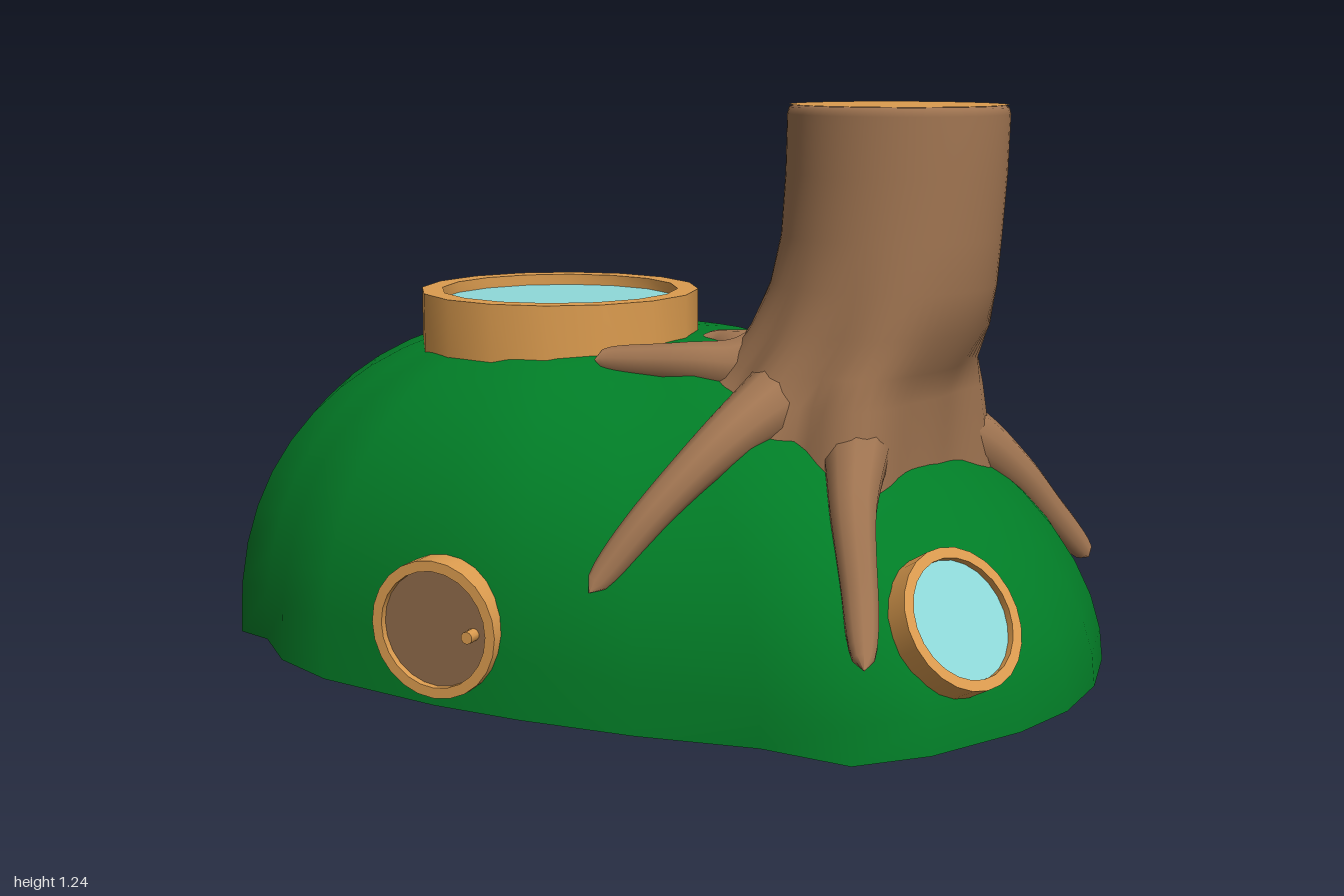
import * as THREE from 'three';
import { toCreasedNormals } from 'three/addons/utils/BufferGeometryUtils.js';

const paint = (color, side = THREE.FrontSide) => new THREE.MeshStandardMaterial({ color, side });
const grass = paint(0x027d27, THREE.DoubleSide);
const bark = paint(0x9e7350, THREE.DoubleSide);
const wood = paint(0xdc9c4f);
const glass = paint(0x8fdada);
const doorWood = paint(0x8f6b4a);

// Ground outline of the hill as [x, z]
const outline = [
  [1, 0], [0.985, 0.18], [0.93, 0.34], [0.81, 0.54], [0.69, 0.655], [0.5, 0.64], [0.25, 0.68], [0, 0.695],
  [-0.2, 0.69], [-0.5, 0.645], [-0.66, 0.575], [-0.78, 0.465], [-0.87, 0.44], [-0.965, 0.23], [-1, 0],
  [-0.975, -0.19], [-0.92, -0.33], [-0.81, -0.49], [-0.7, -0.57], [-0.5, -0.66], [-0.25, -0.71], [0, -0.73],
  [0.25, -0.71], [0.5, -0.67], [0.7, -0.59], [0.8, -0.51], [0.9, -0.37], [0.975, -0.19],
];
const apex = [-0.2, -0.03];
const BASE = 0.03, HEIGHT = 0.73, TOP = 0.72;

// Hill profile: s runs from 0 at the apex to 1 at the edge; fuller to the -x side and the front, flat on top
function rise(s, dx, dz) {
  const len = Math.hypot(dx, dz), side = dx / len;
  const power = 2 + (side < 0 ? -0.35 : -0.12) * side + 0.5 * Math.max(0, dz / len) ** 6;
  return Math.min(TOP, BASE + HEIGHT * Math.pow(Math.max(0, 1 - Math.pow(s, power)), 1 / power));
}

// Height of the hill surface above a point on the ground
function hillY(x, z) {
  const dx = x - apex[0], dz = z - apex[1];
  for (let i = 0; i < outline.length; i++) {
    const a = outline[i], b = outline[(i + 1) % outline.length];
    const ax = a[0] - apex[0], az = a[1] - apex[1];
    const ex = b[0] - a[0], ez = b[1] - a[1];
    const det = dx * ez - dz * ex;
    if (Math.abs(det) < 1e-9) continue;
    const k = (ax * ez - az * ex) / det;      // distance to the edge along the ray
    const u = (ax * dz - az * dx) / det;      // position along the edge
    if (k > 0 && u >= 0 && u <= 1) return rise(Math.min(0.97, 1 / k), dx, dz);
  }
  return TOP;
}

// Skin over closed rings listed from bottom to top
function loft(rings) {
  const n = rings[0].length, index = [];
  for (let j = 0; j < rings.length - 1; j++) {
    for (let i = 0; i < n; i++) {
      const a = j * n + i, b = j * n + (i + 1) % n;
      index.push(a, a + n, b, b, a + n, b + n);
    }
  }
  const geo = new THREE.BufferGeometry();
  geo.setAttribute('position', new THREE.Float32BufferAttribute(rings.flat(2), 3));
  geo.setIndex(index);
  geo.computeVertexNormals();
  return geo;
}

function add(parent, name, geo, material) {
  const mesh = new THREE.Mesh(geo, material);
  mesh.name = name;
  parent.add(mesh);
  return mesh;
}

// Wooden drum sunk in the hill with a recessed pane at its outer end
function portal(parent, name, { at, dir, r, inner, depth, recess, sides, pane, paneName }) {
  const group = new THREE.Group();
  group.name = name;
  const profile = [[0, -depth], [r, -depth], [r, 0], [inner, 0], [inner, -recess]]
    .map(([x, y]) => new THREE.Vector2(x, y));
  add(group, name + 'Frame', toCreasedNormals(new THREE.LatheGeometry(profile, sides), 0.6), wood);
  const disc = new THREE.CircleGeometry(inner * 1.01, sides).rotateX(-Math.PI / 2).rotateY(Math.PI / 2);
  add(group, paneName, disc, pane).position.y = -recess;
  group.position.set(...at);
  group.quaternion.setFromUnitVectors(new THREE.Vector3(0, 1, 0), new THREE.Vector3(...dir).normalize());
  parent.add(group);
}

// Roots as [x, z] points over the hill, from the trunk outwards
const roots = [
  [[0.38, 0.29], [0.33, 0.43], [0.24, 0.56], [0.14, 0.655]],
  [[0.56, 0.29], [0.61, 0.44], [0.67, 0.56], [0.71, 0.65]],
  [[0.67, -0.12], [0.76, -0.21], [0.83, -0.29], [0.9, -0.365]],
  [[0.48, -0.2], [0.475, -0.33], [0.495, -0.45], [0.5, -0.57]],
  [[0.31, -0.14], [0.24, -0.25], [0.16, -0.37], [0.07, -0.49]],
  [[0.24, 0.0], [0.18, 0], [0.13, -0.02], [0.08, -0.02]],
  [[0.27, 0.19], [0.17, 0.24], [0.08, 0.265], [-0.03, 0.29]],
];
const FOOT = [0.46, 0.05];
const rootAngles = roots.map(([[x, z]]) => Math.atan2(z - FOOT[1], x - FOOT[0]));

// Tapering tube that starts inside the trunk and follows the hill
function rootGeometry(points) {
  const [fx, fz] = points[0];
  const start = new THREE.Vector3(FOOT[0] + (fx - FOOT[0]) * 0.35, hillY(fx, fz) + 0.07, FOOT[1] + (fz - FOOT[1]) * 0.35);
  const path = new THREE.CatmullRomCurve3([start,
    ...points.map(([x, z]) => new THREE.Vector3(x, Math.min(hillY(x, z) + 0.022, 0.7), z))]);
  const SEG = 28, SIDES = 10;
  const geo = new THREE.TubeGeometry(path, SEG, 1, SIDES);
  const pos = geo.attributes.position, v = new THREE.Vector3();
  for (let i = 0; i <= SEG; i++) {
    const t = i / SEG, centre = path.getPointAt(t);
    const radius = (0.033 + 0.014 * (1 - t) + 0.07 * (1 - t) ** 3) * Math.sqrt(1 - t ** 16);
    for (let k = 0; k <= SIDES; k++) {
      const id = i * (SIDES + 1) + k;
      v.fromBufferAttribute(pos, id).sub(centre).multiplyScalar(radius).add(centre);
      pos.setXYZ(id, v.x, v.y, v.z);
    }
  }
  return geo;
}

export function createModel() {
  const model = new THREE.Group();
  model.name = 'hillHouse';

  // Hollow grassy hill, open underneath
  const LEVELS = 14;
  const hillRings = Array.from({ length: LEVELS + 1 }, (_, j) => {
    const s = Math.cos((j / LEVELS) * Math.PI / 2);
    return outline.map(([x, z]) => {
      const dx = x - apex[0], dz = z - apex[1];
      return [apex[0] + dx * s, rise(s, dx, dz), apex[1] + dz * s];
    });
  });
  add(model, 'hill', loft(hillRings), grass);

  // Tree stump: [y, centre x, centre z, radius x, radius z, swelling towards the roots]
  // The bottom ring (y = 0) sits just inside the hill
  const tree = new THREE.Group();
  tree.name = 'tree';
  model.add(tree);
  const sections = [
    [0, 0.445, 0.05, 0.235, 0.235, 0.5], [0.64, 0.455, 0.055, 0.228, 0.232, 0.36], [0.7, 0.47, 0.055, 0.23, 0.232, 0.22],
    [0.78, 0.51, 0.055, 0.24, 0.24, 0.08], [0.87, 0.535, 0.052, 0.235, 0.24, 0.02], [0.97, 0.547, 0.045, 0.23, 0.238, 0],
    [1.1, 0.552, 0.035, 0.231, 0.234, 0], [1.222, 0.553, 0.03, 0.232, 0.232, 0],
    [1.236, 0.553, 0.03, 0.228, 0.228, 0], [1.24, 0.553, 0.03, 0.22, 0.22, 0],
  ];
  const trunkRings = sections.map(([y, cx, cz, rx, rz, swell]) => Array.from({ length: 64 }, (_, i) => {
    const a = (i / 64) * Math.PI * 2;
    const lobe = Math.max(...rootAngles.map((angle) => Math.max(0, Math.cos(a - angle)) ** 14));
    const k = 1 + swell * lobe;
    const x = cx + Math.cos(a) * rx * k, z = cz + Math.sin(a) * rz * k;
    return [x, y || Math.min(0.635, hillY(x, z) - 0.012), z];
  }));
  add(tree, 'trunk', loft(trunkRings), bark);
  const top = add(tree, 'cutTop', new THREE.CircleGeometry(0.228, 32).rotateX(-Math.PI / 2), wood);
  top.position.set(0.553, 1.241, 0.03);
  roots.forEach((points) => add(tree, 'root', rootGeometry(points), bark));

  // Skylight, two round windows and the round door
  portal(model, 'skylight', { at: [-0.245, 0.815, 0.04], dir: [0, 1, 0], r: 0.317, inner: 0.27,
    depth: 0.29, recess: 0.025, sides: 16, pane: glass, paneName: 'skylightPane' });
  const small = { r: 0.144, inner: 0.122, depth: 0.31, recess: 0.015, sides: 24 };
  portal(model, 'frontWindow', { ...small, at: [0.835, 0.275, 0.43], dir: [0.75, 0.49, 0.41], depth: 0.3,
    pane: glass, paneName: 'frontWindowPane' });
  portal(model, 'backWindow', { ...small, at: [-0.44, 0.372, -0.645], dir: [-0.22, 0.45, -0.87],
    pane: glass, paneName: 'backWindowPane' });
  portal(model, 'doorway', { ...small, at: [-0.187, 0.197, 0.71], dir: [0, 0, 1], depth: 0.36,
    pane: doorWood, paneName: 'door' });
  const knob = add(model, 'doorKnob', new THREE.CylinderGeometry(0.013, 0.013, 0.03, 10).rotateX(Math.PI / 2), wood);
  knob.position.set(-0.1, 0.195, 0.708);

  return model;
}
